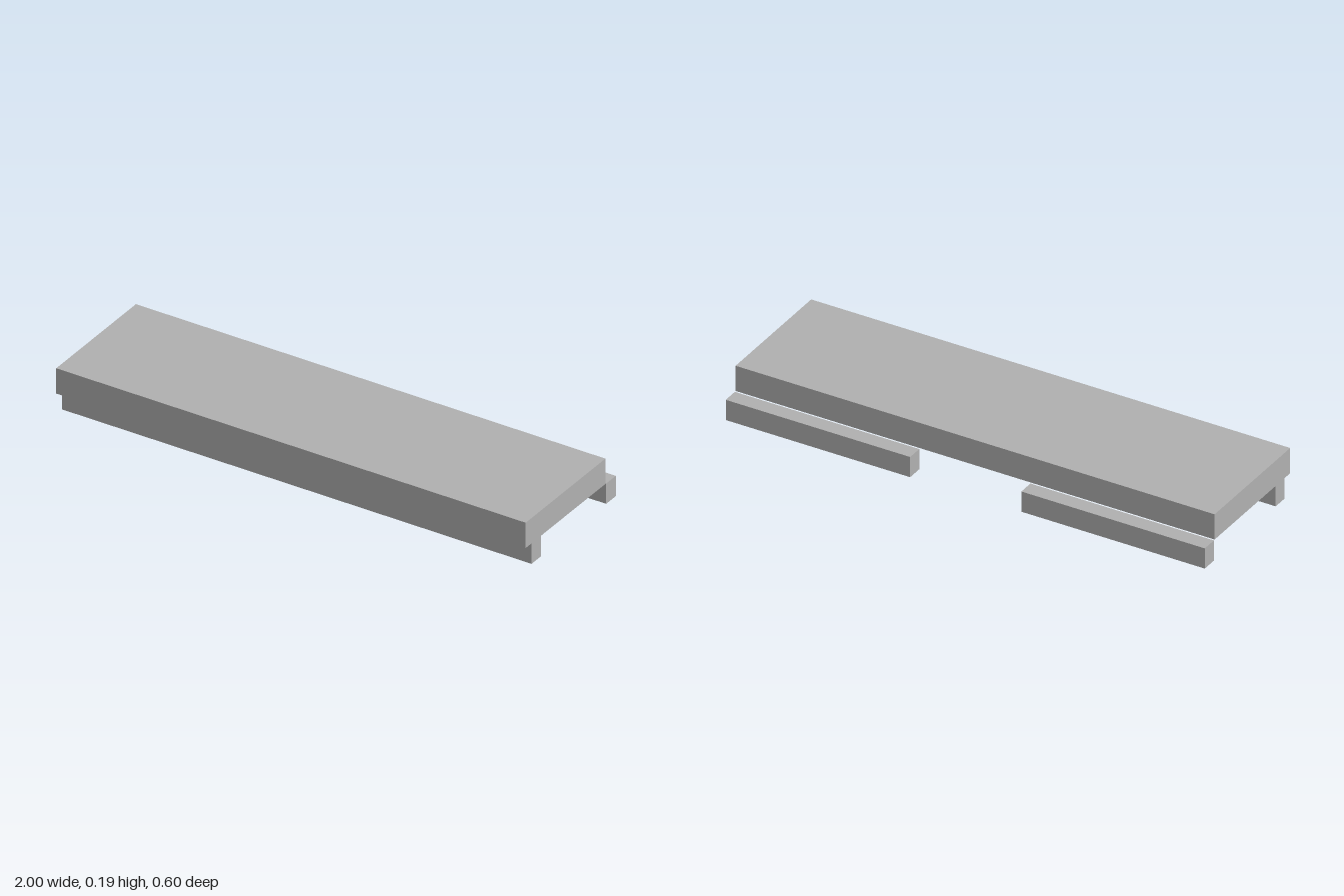
import * as THREE from 'three';

export function createModel() {
  const model = new THREE.Group();
  const grey = new THREE.MeshStandardMaterial({ color: 0xb2b2b2 });
  grey.name = 'grey';

  // Adds a box given its lower and upper limits on each axis
  function addBox(name, [x0, x1], [y0, y1], [z0, z1]) {
    const mesh = new THREE.Mesh(new THREE.BoxGeometry(x1 - x0, y1 - y0, z1 - z0), grey);
    mesh.position.set((x0 + x1) / 2, (y0 + y1) / 2, (z0 + z1) / 2);
    mesh.name = name;
    model.add(mesh);
  }

  // Main slab
  addBox('slab', [-1, 1], [0.086, 0.192], [-0.231, 0.3]);

  // Full-length rail under the front edge
  addBox('frontRail', [-1, 1], [0, 0.086], [0.198, 0.261]);

  // Two short rails just behind the slab, with a gap between them
  const railHeight = [0, 0.085], railDepth = [-0.3, -0.236];
  addBox('backRailRight', [-1, -0.234], railHeight, railDepth);
  addBox('backRailLeft', [0.23, 1], railHeight, railDepth);

  return model;
}
